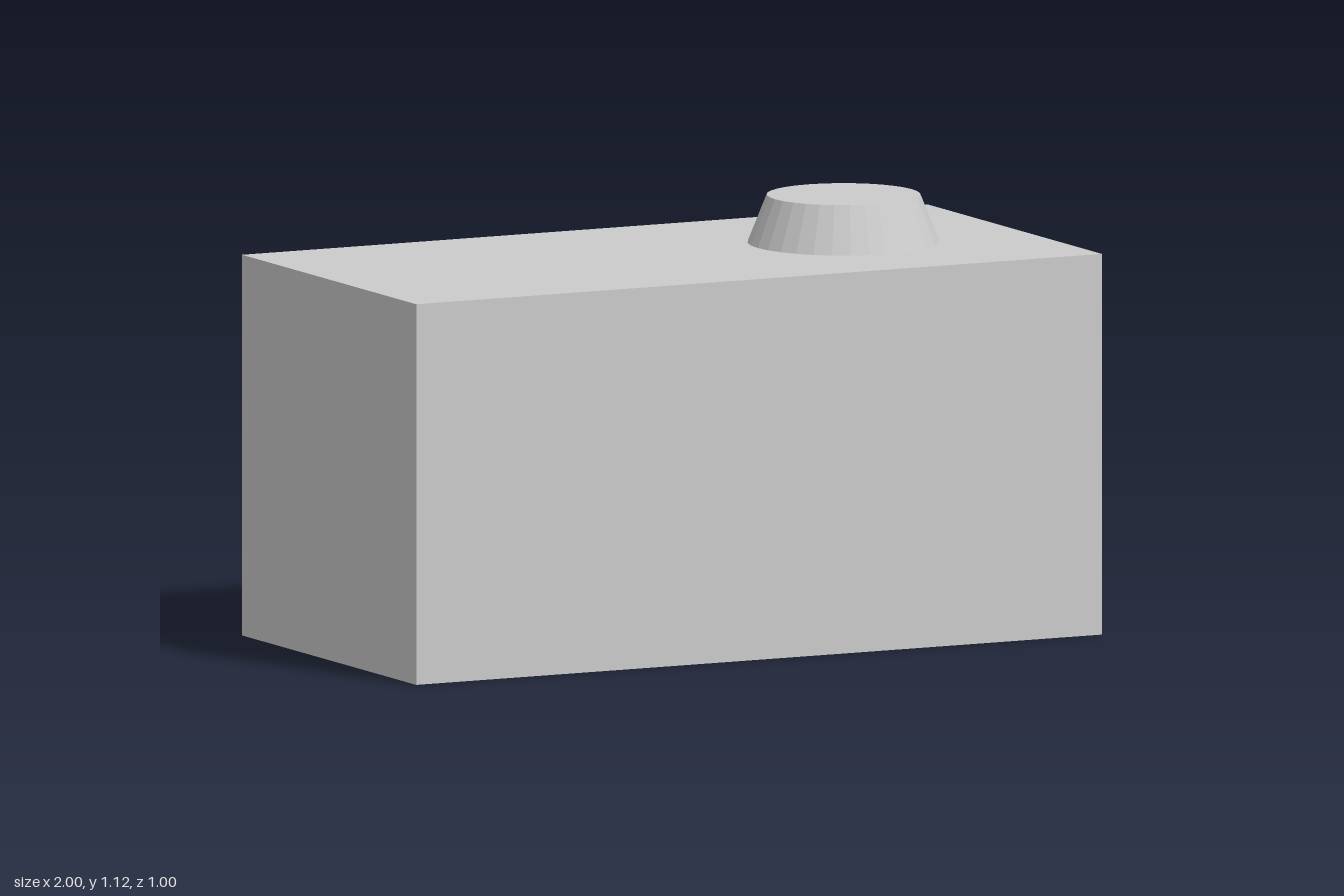
import * as THREE from 'three';

export function createModel() {
  const model = new THREE.Group();
  const material = new THREE.MeshStandardMaterial({
    color: 0xcccccc, flatShading: true, side: THREE.DoubleSide,
  });

  // Thin shell body, open underneath: a box without its bottom face
  const shell = new THREE.BoxGeometry(2, 1, 1);
  const bottom = shell.groups[3];
  const faces = Array.from(shell.index.array);
  faces.splice(bottom.start, bottom.count);
  shell.setIndex(faces);
  shell.clearGroups();
  const body = new THREE.Mesh(shell, material);
  body.name = 'body';
  body.position.y = 0.5;
  model.add(body);

  // Tapered round button on top, closed above and open where it meets the body
  const profile = [[0.25, 0], [0.2, 0.125], [0, 0.125]].map(([r, y]) => new THREE.Vector2(r, y));
  const button = new THREE.Mesh(new THREE.LatheGeometry(profile, 32), material);
  button.name = 'button';
  button.position.set(0.5, 1, 0);
  model.add(button);

  return model;
}
